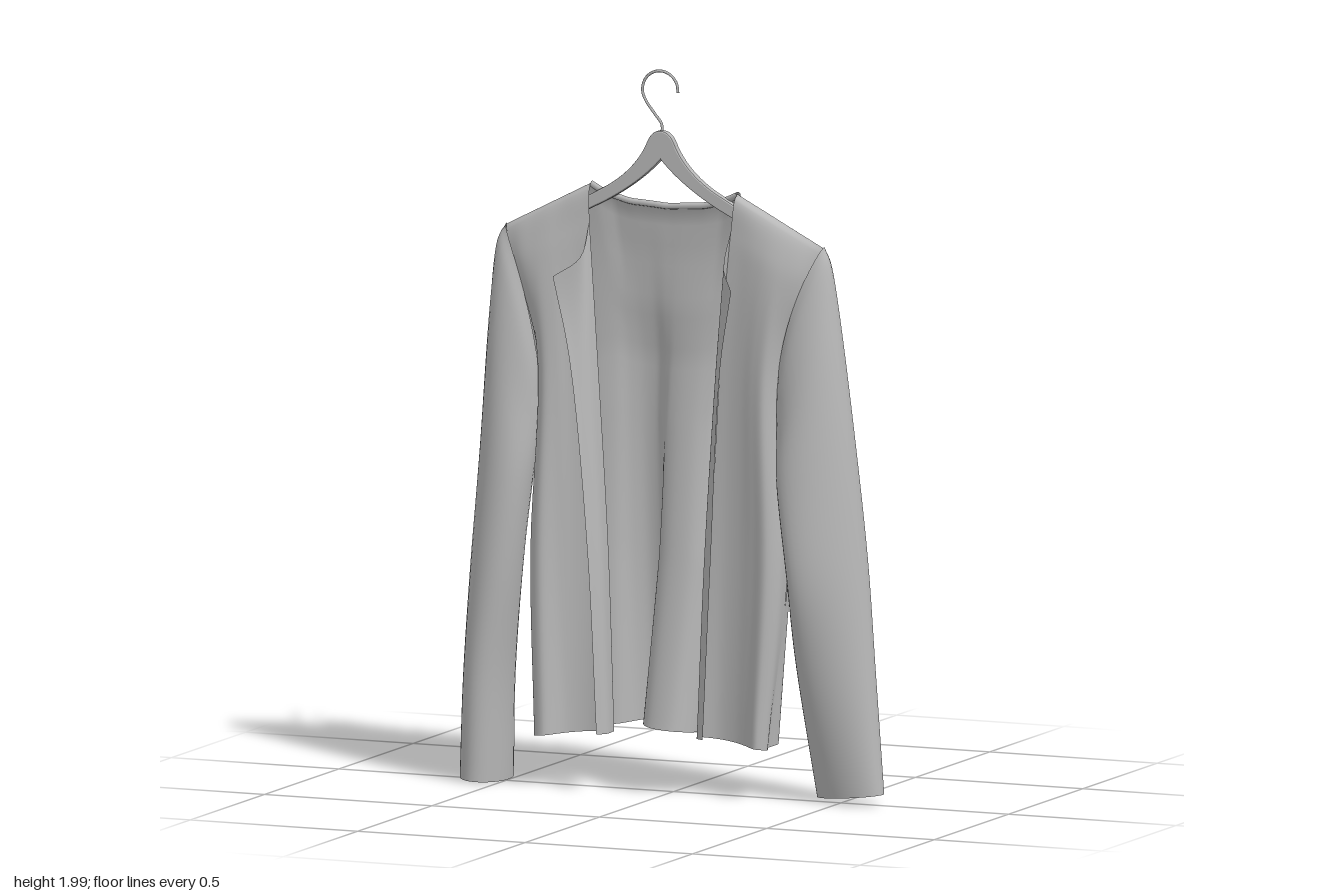
import * as THREE from 'three';
import { mergeVertices } from 'three/addons/utils/BufferGeometryUtils.js';

const V = (x, y, z) => new THREE.Vector3(x, y, z);
const lerp = THREE.MathUtils.lerp;

// Linear lookup in a table of [position, value] pairs
function at(table, t) {
  let i = 0;
  while (i < table.length - 2 && t > table[i + 1][0]) i++;
  const [a, va] = table[i], [b, vb] = table[i + 1];
  return lerp(va, vb, THREE.MathUtils.clamp((t - a) / (b - a), 0, 1));
}

// Surface from a point function of u and v, with smooth normals
function surface(fn, nu, nv) {
  const pos = [], index = [];
  for (let j = 0; j <= nv; j++)
    for (let i = 0; i <= nu; i++) pos.push(...fn(i / nu, j / nv).toArray());
  for (let j = 0; j < nv; j++)
    for (let i = 0; i < nu; i++) {
      const a = j * (nu + 1) + i, b = a + nu + 1;
      index.push(a, b, a + 1, b, b + 1, a + 1);
    }
  let g = new THREE.BufferGeometry();
  g.setAttribute('position', new THREE.Float32BufferAttribute(pos, 3));
  g.setIndex(index);
  g = mergeVertices(g, 1e-5);
  g.computeVertexNormals();
  return g;
}

// Smooth surface through rows of points
function loft(rows, nu, nv) {
  const curves = rows.map(r => new THREE.CatmullRomCurve3(r));
  return surface((u, v) =>
    new THREE.CatmullRomCurve3(curves.map(c => c.getPoint(u))).getPoint(v), nu, nv);
}

// Back panel: flat at the shoulders, falling into deep folds at the hem
const backHem = [[-0.39, 0.03], [-0.41, -0.03], [-0.37, -0.075], [-0.32, -0.065], [-0.25, -0.04],
  [-0.19, -0.055], [-0.15, -0.105], [-0.11, -0.13], [-0.07, -0.115], [-0.06, -0.03], [-0.075, 0.035],
  [-0.04, 0.075], [0.03, 0.08], [0.07, 0.04], [0.09, -0.03], [0.14, -0.075], [0.2, -0.055],
  [0.26, -0.055], [0.3, -0.03], [0.29, 0.02]];
const hemCurve = new THREE.CatmullRomCurve3(backHem.map(([x, z]) => V(x, 0, z)));
const topEdge = [[0, 1.545], [0.268, 1.675], [0.31, 1.645], [0.38, 1.628], [0.5, 1.62],
  [0.61, 1.628], [0.68, 1.645], [0.726, 1.67], [1, 1.535]];
const topZ = [[0, 0], [0.268, 0], [0.32, -0.02], [0.5, -0.025], [0.67, -0.02], [0.726, 0], [1, 0]];
const rightSide = [[0, -0.5], [0.06, -0.475], [0.14, -0.435], [0.28, -0.395], [0.42, -0.39], [0.68, -0.415], [1, -0.39]];
const leftSide = [[0, 0.45], [0.06, 0.42], [0.14, 0.38], [0.28, 0.335], [0.42, 0.315], [0.68, 0.345], [1, 0.29]];
const sideDepth = [[0, 0], [0.06, 0.025], [0.14, 0.04], [0.25, 0.03], [0.4, 0], [1, 0]];
const backDepth = [[0, 0], [0.02, 0.016], [0.1, 0.035], [0.3, 0.065], [1, 0.055]];

function backPoint(u, v) {
  const k = Math.pow(v, 1.3), hem = hemCurve.getPoint(u);
  const x0 = at(rightSide, v), x1 = at(leftSide, v);
  const bow = Math.pow(Math.sin(Math.PI * u), 0.6);
  const flatZ = at(topZ, u) * Math.max(0, 1 - v * 5)
    - lerp(at(sideDepth, v), at(backDepth, v), bow);
  const hx = lerp(x0, x1, (hem.x + 0.39) / 0.68);
  return V(lerp(lerp(x0, x1, u), hx, k),
    lerp(at(topEdge, u), 0.2 - 0.05 * Math.abs(2 * u - 1), v),
    lerp(flatZ, hem.z, k));
}

// Front panels: [y at side, y at fold, then x, z pairs from side seam to lapel fold]
const rightFront = [
  [1.545, 1.675, [-0.5, 0], [-0.458, 0], [-0.415, 0], [-0.373, 0], [-0.33, 0], [-0.288, 0], [-0.245, 0]],
  [1.53, 1.66, [-0.495, 0.008], [-0.455, 0.015], [-0.414, 0.018], [-0.373, 0.02], [-0.33, 0.02], [-0.288, 0.02], [-0.244, 0.017]],
  [1.46, 1.57, [-0.475, 0.025], [-0.44, 0.04], [-0.4, 0.045], [-0.36, 0.045], [-0.32, 0.04], [-0.28, 0.033], [-0.24, 0.026]],
  [1.38, 1.47, [-0.435, 0.04], [-0.41, 0.052], [-0.38, 0.058], [-0.345, 0.055], [-0.31, 0.046], [-0.272, 0.036], [-0.235, 0.03]],
  [1.15, 1.2, [-0.392, 0.015], [-0.385, 0.045], [-0.36, 0.065], [-0.325, 0.06], [-0.29, 0.045], [-0.25, 0.035], [-0.215, 0.03]],
  [0.65, 0.68, [-0.415, 0.015], [-0.4, 0.06], [-0.365, 0.08], [-0.32, 0.055], [-0.275, 0.035], [-0.23, 0.025], [-0.182, 0.03]],
  [0.145, 0.17, [-0.39, 0.03], [-0.385, 0.07], [-0.35, 0.085], [-0.305, 0.04], [-0.26, 0.022], [-0.21, 0.02], [-0.162, 0.035]],
];
const leftFront = [
  [1.535, 1.67, [0.45, 0], [0.407, 0], [0.363, 0], [0.32, 0], [0.277, 0], [0.233, 0], [0.19, 0]],
  [1.52, 1.655, [0.443, 0.008], [0.402, 0.015], [0.36, 0.018], [0.318, 0.02], [0.276, 0.02], [0.233, 0.02], [0.189, 0.017]],
  [1.455, 1.57, [0.42, 0.025], [0.385, 0.04], [0.345, 0.045], [0.305, 0.045], [0.265, 0.04], [0.223, 0.033], [0.182, 0.026]],
  [1.38, 1.47, [0.38, 0.04], [0.355, 0.052], [0.325, 0.058], [0.29, 0.055], [0.252, 0.046], [0.212, 0.036], [0.172, 0.03]],
  [1.15, 1.2, [0.332, 0.015], [0.325, 0.045], [0.298, 0.068], [0.262, 0.06], [0.225, 0.045], [0.188, 0.035], [0.152, 0.03]],
  [0.65, 0.68, [0.345, 0.01], [0.34, 0.055], [0.308, 0.08], [0.262, 0.06], [0.215, 0.04], [0.168, 0.03], [0.122, 0.03]],
  [0.145, 0.17, [0.29, 0.02], [0.303, 0.06], [0.28, 0.085], [0.235, 0.055], [0.195, 0.035], [0.145, 0.025], [0.093, 0.035]],
];
const panelRows = rows => rows.map(([y0, y1, ...p]) =>
  p.map(([x, z], i) => V(x, lerp(y0, y1, i / (p.length - 1)), z)));

// Lapels turned out from the fold: free edge, middle and fold, top to hem
const rightLapel = [
  [V(-0.33, 1.42, 0.07), V(-0.255, 1.475, 0.055), V(-0.24, 1.57, 0.026)],
  [V(-0.265, 1.2, 0.105), V(-0.228, 1.21, 0.075), V(-0.215, 1.22, 0.03)],
  [V(-0.205, 0.68, 0.12), V(-0.182, 0.68, 0.085), V(-0.182, 0.68, 0.03)],
  [V(-0.18, 0.17, 0.115), V(-0.16, 0.17, 0.085), V(-0.162, 0.17, 0.035)]];
const leftLapel = [
  [V(0.23, 1.42, 0.132), V(0.187, 1.48, 0.085), V(0.182, 1.57, 0.026)],
  [V(0.188, 1.2, 0.112), V(0.16, 1.21, 0.075), V(0.152, 1.22, 0.03)],
  [V(0.155, 0.68, 0.1), V(0.125, 0.68, 0.075), V(0.122, 0.68, 0.03)],
  [V(0.125, 0.17, 0.087), V(0.1, 0.17, 0.07), V(0.093, 0.17, 0.035)]];

// Sleeves: inner point, outer point, half depth and inward curve of each ring
const rightSleeve = [
  [-0.387, 1.1, 0, -0.5, 1.548, 0, 0.045, 0.028], [-0.388, 1.06, 0.01, -0.527, 1.49, 0, 0.062, 0.02],
  [-0.39, 1.0, 0.02, -0.545, 1.3, 0, 0.075, 0],
  [-0.41, 0.85, 0.04, -0.57, 0.93, 0, 0.085, 0], [-0.445, 0.6, 0.035, -0.595, 0.62, 0, 0.092, 0],
  [-0.487, 0.3, 0, -0.618, 0.3, -0.01, 0.105, 0], [-0.503, 0.008, -0.022, -0.635, 0.016, -0.028, 0.11, 0]];
const leftSleeve = [
  [0.318, 1.1, 0, 0.45, 1.54, 0, 0.045, -0.025], [0.318, 1.06, 0.01, 0.472, 1.48, 0, 0.06, -0.018],
  [0.325, 1.0, 0.03, 0.5, 1.3, 0, 0.07, 0],
  [0.34, 0.88, 0.065, 0.54, 1.0, 0, 0.07, 0], [0.378, 0.63, 0.085, 0.575, 0.68, -0.005, 0.065, 0],
  [0.385, 0.38, 0.035, 0.6, 0.38, 0, 0.063, 0], [0.412, 0.015, -0.045, 0.63, 0.04, 0.01, 0.06, 0]];
function sleeveGeometry(rings) {
  const lines = rings[0].map((_, c) =>
    new THREE.CatmullRomCurve3(rings.map((r, i) => V(r[c], i, 0))));
  return surface((u, v) => {
    const [ix, iy, iz, ox, oy, oz, d, sag] = lines.map(l => l.getPoint(v).x);
    const a = u * Math.PI * 2, t = 0.5 + 0.5 * Math.cos(a);
    return V(lerp(ix, ox, t) + sag * 4 * t * (1 - t), lerp(iy, oy, t),
      lerp(iz, oz, t) + d * Math.sin(a));
  }, 32, 36);
}

export function createModel() {
  const group = new THREE.Group();
  const grey = new THREE.MeshStandardMaterial({ color: 0xb8b8b8, side: THREE.DoubleSide });
  grey.name = 'grey';
  const add = (name, geometry) => {
    const mesh = new THREE.Mesh(geometry, grey);
    mesh.name = name;
    group.add(mesh);
  };
  const tube = (points, r, n = 48) =>
    new THREE.TubeGeometry(new THREE.CatmullRomCurve3(points), n, r, 8);

  // Jacket
  add('backPanel', surface(backPoint, 96, 50));
  add('rightFrontPanel', loft(panelRows(rightFront), 36, 42));
  add('leftFrontPanel', loft(panelRows(leftFront), 36, 42));
  add('rightLapel', loft(rightLapel, 10, 30));
  add('leftLapel', loft(leftLapel, 10, 30));
  add('rightSleeve', sleeveGeometry(rightSleeve));
  add('leftSleeve', sleeveGeometry(leftSleeve));

  // Rolled band round the back of the neck
  const band = [];
  for (let i = 0; i <= 12; i++) band.push(backPoint(lerp(0.265, 0.73, i / 12), 0));
  add('neckBand', tube(band, 0.009));

  // Hanger body with two sloping arms
  const s = new THREE.Shape();
  s.moveTo(0, 1.832);
  s.quadraticCurveTo(0.03, 1.832, 0.045, 1.79);
  s.quadraticCurveTo(0.08, 1.72, 0.16, 1.672);
  s.lineTo(0.44, 1.518);
  s.quadraticCurveTo(0.46, 1.5, 0.43, 1.495);
  s.lineTo(0.17, 1.625);
  s.quadraticCurveTo(0.06, 1.685, 0, 1.752);
  s.quadraticCurveTo(-0.06, 1.685, -0.17, 1.625);
  s.lineTo(-0.43, 1.495);
  s.quadraticCurveTo(-0.46, 1.5, -0.44, 1.518);
  s.lineTo(-0.16, 1.672);
  s.quadraticCurveTo(-0.08, 1.72, -0.045, 1.79);
  s.quadraticCurveTo(-0.03, 1.832, 0, 1.832);
  const body = new THREE.ExtrudeGeometry(s, {
    depth: 0.012, bevelEnabled: true, bevelThickness: 0.006, bevelSize: 0.004, bevelOffset: -0.004,
    bevelSegments: 2, curveSegments: 10 });
  add('hangerBody', body.translate(-0.035, 0, -0.006));

  // Wire hook
  const hook = [V(-0.035, 1.82, 0), V(-0.036, 1.85, 0), V(-0.055, 1.875, 0)];
  for (let i = 0; i <= 8; i++) {
    const a = THREE.MathUtils.degToRad(215 - i * 27.5);
    hook.push(V(-0.04 + 0.053 * Math.cos(a), 1.943 + 0.053 * Math.sin(a), 0));
  }
  add('hangerHook', tube(hook, 0.004, 60));
  return group;
}
